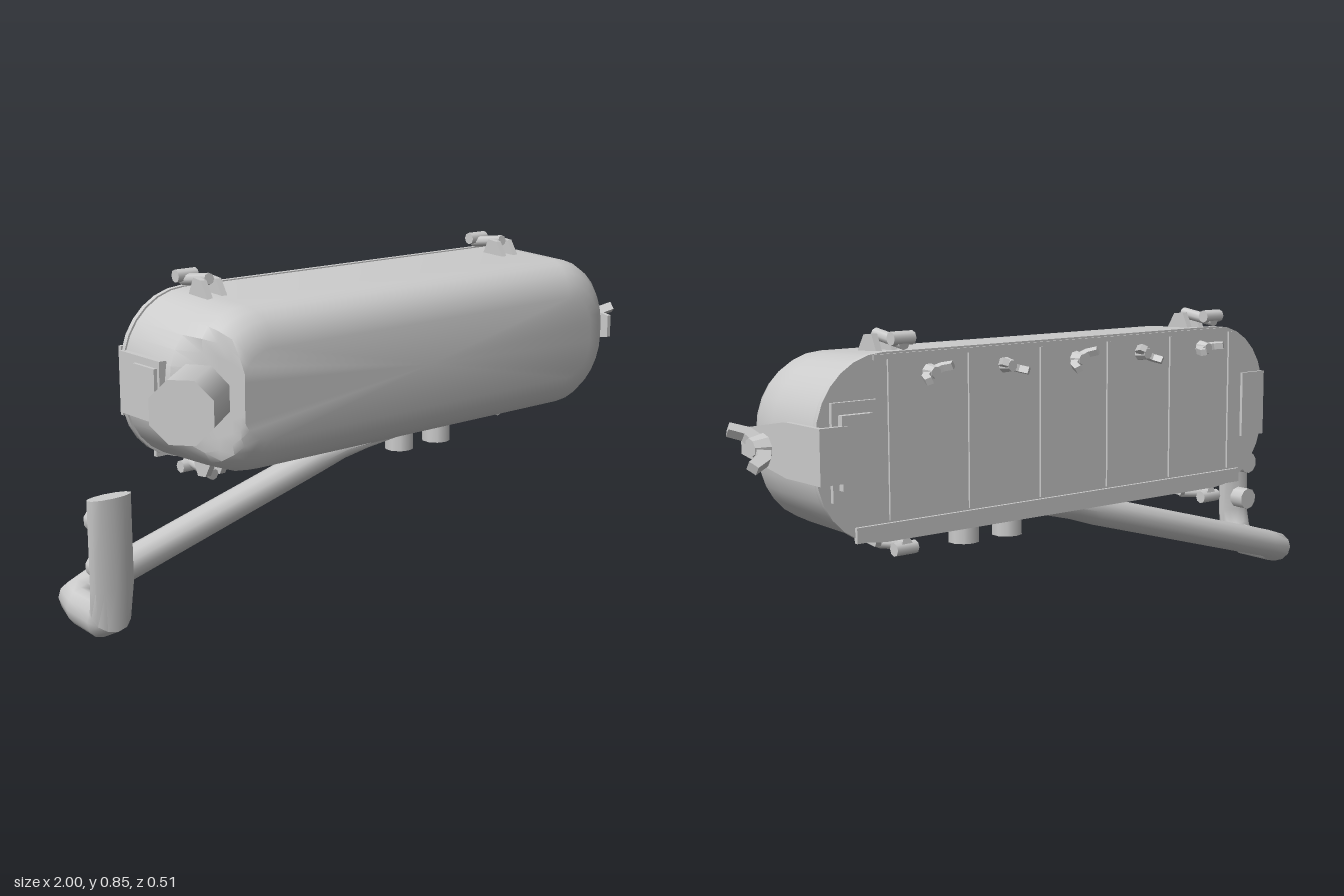
import * as THREE from 'three';
import { toCreasedNormals } from 'three/addons/utils/BufferGeometryUtils.js';

const mat = new THREE.MeshStandardMaterial({ color: 0xcccccc });
const flat = new THREE.MeshStandardMaterial({ color: 0xcccccc, flatShading: true });
const V = (x, y, z) => new THREE.Vector3(x, y, z);

function add(parent, name, geo, pos = [0, 0, 0], rot = [0, 0, 0], m = mat) {
  const mesh = new THREE.Mesh(geo, m);
  mesh.name = name;
  mesh.position.set(...pos);
  mesh.rotation.set(...rot);
  parent.add(mesh);
  return mesh;
}

// box given by its two corners
function block(parent, name, a, b) {
  return add(parent, name, new THREE.BoxGeometry(b[0] - a[0], b[1] - a[1], b[2] - a[2]),
    a.map((v, i) => (v + b[i]) / 2));
}

// skin over rings of equal point count, capped at both ends
function loft(rings, crease = 0.6) {
  const n = rings[0].length, pos = [], idx = [];
  rings.forEach(r => r.forEach(p => pos.push(p.x, p.y, p.z)));
  for (let r = 0; r < rings.length - 1; r++) for (let j = 0; j < n; j++) {
    const a = r * n + j, b = r * n + (j + 1) % n;
    idx.push(a, b, b + n, a, b + n, a + n);
  }
  [0, rings.length - 1].forEach((r, end) => {
    const c = rings[r].reduce((s, p) => s.add(p), V(0, 0, 0)).divideScalar(n);
    const k = pos.length / 3;
    pos.push(c.x, c.y, c.z);
    for (let j = 0; j < n; j++) {
      const a = r * n + j, b = r * n + (j + 1) % n;
      idx.push(...(end ? [k, a, b] : [k, b, a]));
    }
  });
  const g = new THREE.BufferGeometry();
  g.setAttribute('position', new THREE.Float32BufferAttribute(pos, 3));
  g.setIndex(idx);
  return toCreasedNormals(g, crease);
}

// rounded rectangle at depth z; the -x end is cut by a slanted plane
function outline(z, x0, x1, y0, y1, r) {
  const pts = [], cut = z > 0.01 ? -0.64 + (z - 0.01) * 0.66 : -9;
  const corners = [[x1 - r, y1 - r], [x0 + r, y1 - r], [x0 + r, y0 + r], [x1 - r, y0 + r]];
  corners.forEach(([cx, cy], q) => {
    for (let i = 0; i <= 7; i++) {
      const a = (q + i / 7) * Math.PI / 2;
      pts.push(V(Math.max(cx + r * Math.cos(a), cut), cy + r * Math.sin(a), z));
    }
  });
  return pts;
}

// wing nut standing on the xy plane, pointing to +z
function wingNut(name) {
  const g = new THREE.Group();
  g.name = name;
  add(g, 'nutHub', new THREE.CylinderGeometry(0.015, 0.022, 0.035, 8), [0, 0, 0.0175], [Math.PI / 2, 0, 0], flat);
  for (const s of [1, -1]) {
    const pts = [[0.008, 0], [0.034, 0.018], [0.048, 0.05], [0.034, 0.06], [0.022, 0.036], [0.006, 0.03]];
    const shape = new THREE.Shape(pts.map(([x, y]) => new THREE.Vector2(x * s, y)));
    const geo = new THREE.ExtrudeGeometry(shape, { depth: 0.018, bevelEnabled: false });
    geo.translate(0, 0, -0.009);
    add(g, 'nutWing', geo, [0, 0, 0], [Math.PI / 2, 0, 0], flat);
  }
  return g;
}

// hinged eye bolt latch, standing on y = 0
function latch() {
  const g = new THREE.Group();
  g.name = 'latch';
  const s = new THREE.Shape([[0.035, -0.01], [0.065, 0.038], [0.1, 0.042], [0.125, -0.01]]
    .map(p => new THREE.Vector2(...p)));
  for (const x of [-0.033, 0.015]) {
    const geo = new THREE.ExtrudeGeometry(s, { depth: 0.018, bevelEnabled: false });
    add(g, 'latchCheek', geo, [x, 0, 0], [0, Math.PI / 2, 0]);
  }
  add(g, 'latchRod', new THREE.CylinderGeometry(0.016, 0.016, 0.125, 8), [0, 0.03, -0.135], [Math.PI / 2 - 0.14, 0, 0]);
  add(g, 'latchHead', new THREE.CylinderGeometry(0.018, 0.018, 0.066, 8), [0, 0.035, -0.185], [0, 0, Math.PI / 2]);
  return g;
}

export function createModel() {
  const model = new THREE.Group();
  model.name = 'canister';

  // main shell: [z, x0, x1, y0, y1, corner radius]
  add(model, 'shell', loft([
    [-0.195, -0.66, 0.905, 0.33, 0.8, 0.2],
    [0.01, -0.65, 0.903, 0.336, 0.79, 0.195],
    [0.08, -0.645, 0.9, 0.341, 0.786, 0.19],
    [0.115, -0.635, 0.885, 0.352, 0.776, 0.185],
    [0.145, -0.61, 0.86, 0.375, 0.754, 0.17],
    [0.165, -0.58, 0.825, 0.405, 0.722, 0.14],
    [0.175, -0.54, 0.78, 0.44, 0.685, 0.1],
  ].map(a => outline(...a))));

  // back lid with rail, ribs and wing nuts
  add(model, 'lid', loft([-0.203, -0.188].map(z => outline(z, -0.664, 0.908, 0.326, 0.803, 0.2))));
  block(model, 'lidRail', [-0.56, 0.335, -0.212], [0.8, 0.375, -0.2]);
  block(model, 'lidTopRail', [-0.5, 0.785, -0.208], [0.74, 0.798, -0.2]);
  for (const x of [-0.52, -0.28, -0.04, 0.2, 0.44, 0.69])
    block(model, 'lidRib', [x - 0.008, 0.38, -0.209], [x + 0.008, 0.785, -0.2]);
  [-0.4, -0.16, 0.08, 0.325, 0.57].forEach((x, i) => {
    const nut = wingNut('lidWingNut');
    nut.position.set(x, 0.745, -0.2);
    nut.rotation.set(0, Math.PI, [0.2, -0.5, 0.6, -0.35, 0.45][i]);
    model.add(nut);
  });

  // latches along top and bottom
  for (const x of [-0.46, 0.64]) for (const top of [true, false]) {
    const l = latch();
    l.position.set(x, top ? 0.797 : 0.333, 0);
    if (!top) l.rotation.z = Math.PI;
    model.add(l);
  }

  // strap folded round the +x end, with its wing nut
  const strap = new THREE.Shape([[-0.135, 0.53], [0.08, 0.495], [0.237, 0.495], [0.237, 0.635], [0.08, 0.635], [-0.135, 0.597]]
    .map(p => new THREE.Vector2(...p)));
  add(model, 'endStrap', new THREE.ExtrudeGeometry(strap, { depth: 0.014, bevelEnabled: false }),
    [0.904, 0, 0], [0, Math.PI / 2, 0]);
  block(model, 'strapFold', [0.835, 0.495, -0.237], [0.918, 0.635, -0.223]);
  block(model, 'strapSeat', [0.76, 0.475, -0.232], [0.85, 0.66, -0.2]);
  block(model, 'strapPlate', [0.735, 0.445, -0.214], [0.868, 0.69, -0.2]);
  const endNut = wingNut('endWingNut');
  endNut.rotation.set(0, Math.PI / 2, -0.62, 'YXZ');
  endNut.position.set(0.91, 0.565, 0.015);
  endNut.scale.set(1.75, 1.4, 1.45);
  model.add(endNut);

  // clip on the -x end
  block(model, 'clipBack', [-0.662, 0.47, -0.212], [-0.57, 0.66, -0.2]);
  block(model, 'clipSide', [-0.668, 0.48, -0.2], [-0.645, 0.65, -0.01]);
  block(model, 'clipPad', [-0.678, 0.5, -0.12], [-0.66, 0.63, -0.02]);

  // slanted outlet pipe
  const pipeDir = V(-0.756, 0, 0.654);
  const pipe = new THREE.CylinderGeometry(0.09, 0.09, 0.24, 8);
  pipe.rotateY(Math.PI / 8);
  const outlet = add(model, 'outletPipe', pipe, [-0.644, 0.563, 0.108]);
  outlet.quaternion.setFromRotationMatrix(new THREE.Matrix4().makeBasis(
    V(0, 1, 0), pipeDir, V(0, 1, 0).cross(pipeDir)));

  // bent carrying tube, flattened at both ends: [centre, side axis, up axis]
  const d = 0.036;
  const sections = [
    [V(0.455, 0.326, -0.05), V(0, 0, 0.06), V(0, 0.014, 0)],
    [V(0.42, 0.325, -0.05), V(0, 0, 0.073), V(0, 0.015, 0)],
    [V(0.14, 0.325, -0.05), V(0, 0, 0.073), V(0, 0.018, 0)],
    [V(-0.03, 0.302, -0.057), V(0, 0, 0.048), V(-0.006, 0.036, 0)],
    [V(-0.12, 0.279, -0.058), V(0, 0, 0.042), V(-0.01, 0.041, 0)],
    [V(-0.86, 0.077, -0.058), V(0, 0, 0.042), V(-0.01, 0.042, 0)],
    [V(-0.915, 0.056, -0.045), V(d, 0, d), V(0, 0.048, 0)],
    [V(-0.932, 0.051, 0), V(0.042, 0, 0), V(0, 0.05, 0)],
    [V(-0.936, 0.051, 0.11), V(0.045, 0, 0), V(0, 0.05, 0)],
    [V(-0.937, 0.075, 0.15), V(0.055, 0, 0), V(0, d, -d)],
    [V(-0.937, 0.15, 0.163), V(0.063, 0, 0), V(0, 0, -0.023)],
    [V(-0.937, 0.383, 0.163), V(0.063, 0, 0), V(0, 0, -0.023)],
  ];
  add(model, 'carryTube', loft(sections.map(([c, u, v]) => Array.from({ length: 12 }, (_, i) => {
    const a = i / 12 * Math.PI * 2;
    return c.clone().addScaledVector(u, Math.cos(a)).addScaledVector(v, Math.sin(a));
  })), 0.9));

  // bolts through both flattened ends
  for (const x of [0.205, 0.355])
    add(model, 'bodyBolt', new THREE.CylinderGeometry(0.043, 0.043, 0.06, 10), [x, 0.285, -0.057]);
  for (const y of [0.19, 0.31])
    add(model, 'tubeBolt', new THREE.CylinderGeometry(0.034, 0.034, 0.055, 10), [-0.937, y, 0.122], [Math.PI / 2, 0, 0]);

  return model;
}
